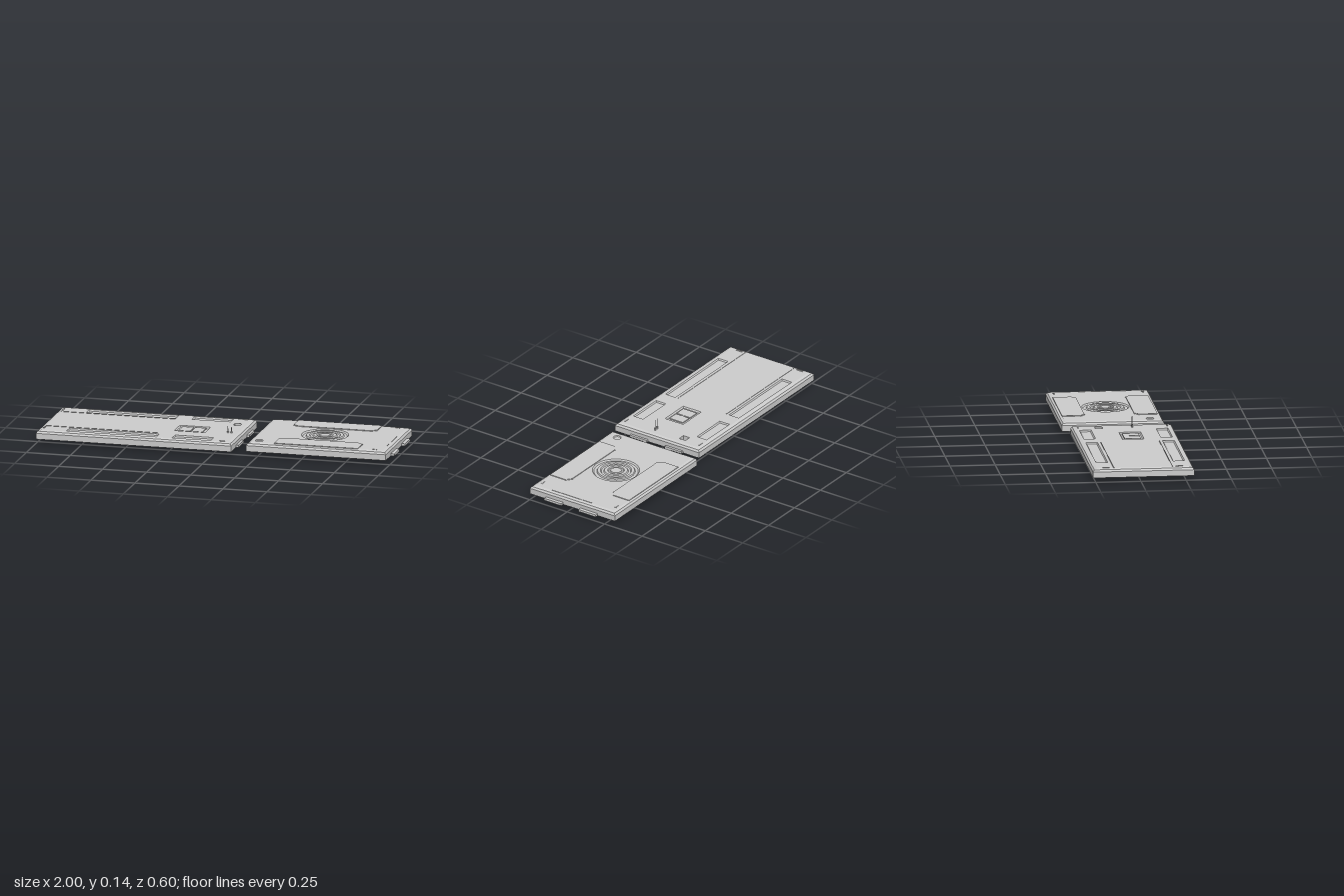
import * as THREE from 'three';

const grey = new THREE.MeshStandardMaterial({ color: 0xcccccc, side: THREE.DoubleSide });
grey.name = 'panel grey';

const BASE = 0.025, TOP = 0.074;

// Corner points [x, z] of a rectangle, and of one with two cut corners
const rect = (x0, x1, z0, z1) => [[x0, z0], [x1, z0], [x1, z1], [x0, z1]];
const grow = (r, d) => rect(r[0][0] - d, r[1][0] + d, r[0][1] - d, r[2][1] + d);

function add(group, name, geometry) {
  const m = new THREE.Mesh(geometry, grey);
  m.name = name;
  group.add(m);
  return m;
}

// Thin sheet joining closed rings of { points, y }
function loft(rings) {
  const pos = [];
  for (let r = 0; r + 1 < rings.length; r++) {
    const a = rings[r], b = rings[r + 1], n = a.points.length;
    for (let i = 0; i < n; i++) {
      const j = (i + 1) % n;
      const p = [a.points[i], a.points[j], b.points[j], b.points[i]];
      const y = [a.y, a.y, b.y, b.y];
      for (const k of [0, 2, 1, 0, 3, 2]) pos.push(p[k][0], y[k], p[k][1]);
    }
  }
  const g = new THREE.BufferGeometry();
  g.setAttribute('position', new THREE.Float32BufferAttribute(pos, 3));
  g.computeVertexNormals();
  return g;
}

// Horizontal sheet with openings
function sheet(points, y, holes = []) {
  const toV = (ps) => ps.map(([x, z]) => new THREE.Vector2(x, -z));
  const s = new THREE.Shape(toV(points));
  for (const h of holes) s.holes.push(new THREE.Path(toV(h)));
  return new THREE.ShapeGeometry(s).rotateX(-Math.PI / 2).translate(0, y, 0);
}

const circle = (cx, cz, r, n = 48) => Array.from({ length: n }, (_, i) => {
  const a = (i / n) * Math.PI * 2;
  return [cx + r * Math.cos(a), cz + r * Math.sin(a)];
});

// Open-bottomed panel: skirt, bevels, top sheet, and pressed features
function pressedPanel(name, outline, features, extraHoles = []) {
  const g = new THREE.Group();
  g.name = name;
  const inner = grow(outline, -0.024);
  add(g, 'skirt', loft([
    { points: outline, y: BASE }, { points: outline, y: 0.058 },
    { points: grow(outline, -0.008), y: 0.069 }, { points: grow(outline, -0.016), y: 0.071 },
    { points: inner, y: TOP },
  ]));
  add(g, 'topSheet', sheet(inner, TOP, [...features.map((f) => f.points), ...extraHoles]));
  for (const f of features) {
    add(g, f.name + 'Wall', loft([{ points: f.points, y: TOP }, { points: f.floor || f.points, y: TOP + f.dy }]));
    add(g, f.name + 'Face', sheet(f.floor || f.points, TOP + f.dy));
  }
  return g;
}

function box(group, name, x0, x1, y0, y1, z0, z1) {
  add(group, name, new THREE.BoxGeometry(x1 - x0, y1 - y0, z1 - z0))
    .position.set((x0 + x1) / 2, (y0 + y1) / 2, (z0 + z1) / 2);
}

function longPanel() {
  const features = [];
  // Side recesses, mirrored about the panel's centre line
  for (const s of [-1, 1]) {
    for (const [x0, x1] of [[-0.835, -0.325], [-0.235, -0.015]]) {
      const zs = [0.015 + s * 0.18, 0.015 + s * 0.245].sort((a, b) => a - b);
      const r = rect(x0, x1, zs[0], zs[1]);
      features.push({ name: 'sideRecess', points: r, floor: grow(r, -0.005), dy: -0.008 });
    }
  }
  const hatch = rect(-0.265, -0.09, -0.02, 0.1);
  features.push({ name: 'hatchRecess', points: hatch, floor: grow(hatch, -0.006), dy: -0.008 });
  features.push({ name: 'socket', points: rect(0.017, 0.058, -0.138, -0.097), dy: -TOP });
  const g = pressedPanel('longPanel', rect(-1, 0.11, -0.265, 0.295), features);

  // Hatch leaves and hinge
  for (const [x0, x1] of [[-0.245, -0.18], [-0.172, -0.11]]) box(g, 'hatchLeaf', x0, x1, 0.066, 0.072, -0.005, 0.085);
  box(g, 'hatchHinge', -0.18, -0.172, 0.066, 0.071, 0.036, 0.044);

  // Creases along the sides and corner marks
  for (const z of [-0.147, 0.177]) box(g, 'crease', -0.975, -0.325, TOP, TOP + 0.002, z - 0.002, z + 0.002);
  for (const z of [-0.232, 0.262]) {
    box(g, 'cornerMark', 0.035, 0.065, TOP, TOP + 0.003, z - 0.003, z + 0.003);
    box(g, 'cornerMark', -0.975, -0.968, TOP, TOP + 0.003, z * 0.82 - 0.02, z * 0.82 + 0.02);
  }

  // Thin tapering spikes
  for (const x of [0.032, 0.052]) {
    const profile = [[0.005, 0], [0.0035, 0.012], [0.0015, 0.02], [0.001, 0.062], [0, 0.063]];
    add(g, 'spike', new THREE.LatheGeometry(profile.map(([r, y]) => new THREE.Vector2(r, y)), 10))
      .position.set(x, TOP, 0.068);
  }
  // End tabs
  for (const z of [-0.1, 0.132]) box(g, 'endTab', 0.1, 0.124, BASE, 0.038, z - 0.057, z + 0.057);
  return g;
}

function shortPanel() {
  const cx = 0.56, cz = -0.022;
  // Raised plates with cut inner corners above and below the dial
  const features = [-1, 1].map((s) => {
    const near = cz + s * 0.137, far = cz + s * 0.264;
    const points = [[0.34, far], [0.815, far], [0.815, near + s * 0.024], [0.785, near], [0.37, near], [0.34, near + s * 0.024]];
    return { name: 'raisedPlate', points, dy: 0.004 };
  });
  features.push({ name: 'cap', points: circle(0.242, 0.19, 0.022, 24), floor: circle(0.242, 0.19, 0.018, 24), dy: -0.005 });
  const g = pressedPanel('shortPanel', rect(0.185, 0.98, -0.305, 0.262), features, [circle(cx, cz, 0.13)]);

  // Concentric stepped dial
  const profile = [[0.13, 0], [0.122, -0.007], [0.106, -0.007], [0.102, 0], [0.086, 0], [0.081, -0.006],
    [0.068, -0.006], [0.063, 0], [0.046, 0], [0.042, -0.005], [0.034, -0.005], [0.03, 0], [0, 0]];
  for (let i = 0; i + 1 < profile.length; i++) {
    const pts = [profile[i + 1], profile[i]].map(([r, y]) => new THREE.Vector2(r, y));
    add(g, 'dialRing', new THREE.LatheGeometry(pts, 48)).position.set(cx, TOP, cz);
  }

  // Slanting ribs framing the dial, corner marks and end bar
  for (const sx of [-1, 1]) {
    for (const sz of [-1, 1]) {
      const rib = add(g, 'frameRib', new THREE.BoxGeometry(0.045, 0.002, 0.004));
      rib.position.set(0.5775 + sx * 0.223, TOP + 0.001, cz + sz * 0.149);
      rib.rotation.y = -sx * sz * 0.67;
    }
  }
  for (const s of [-1, 1]) {
    const z = cz + s * 0.246;
    box(g, 'cornerMark', 0.895, 0.922, TOP, TOP + 0.002, z - 0.002, z + 0.002);
    box(g, 'cornerMark', 0.918, 0.922, TOP, TOP + 0.002, z - 0.008, z + 0.008);
  }
  box(g, 'endBar', 0.947, 0.954, TOP - 0.001, TOP + 0.002, -0.13, 0.135);

  // End tabs
  for (const z of [-0.133, 0.097]) box(g, 'endTab', 0.97, 1, BASE, 0.038, z - 0.057, z + 0.057);
  return g;
}

export function createModel() {
  const model = new THREE.Group();
  model.name = 'panelPair';
  model.add(longPanel(), shortPanel());
  return model;
}
